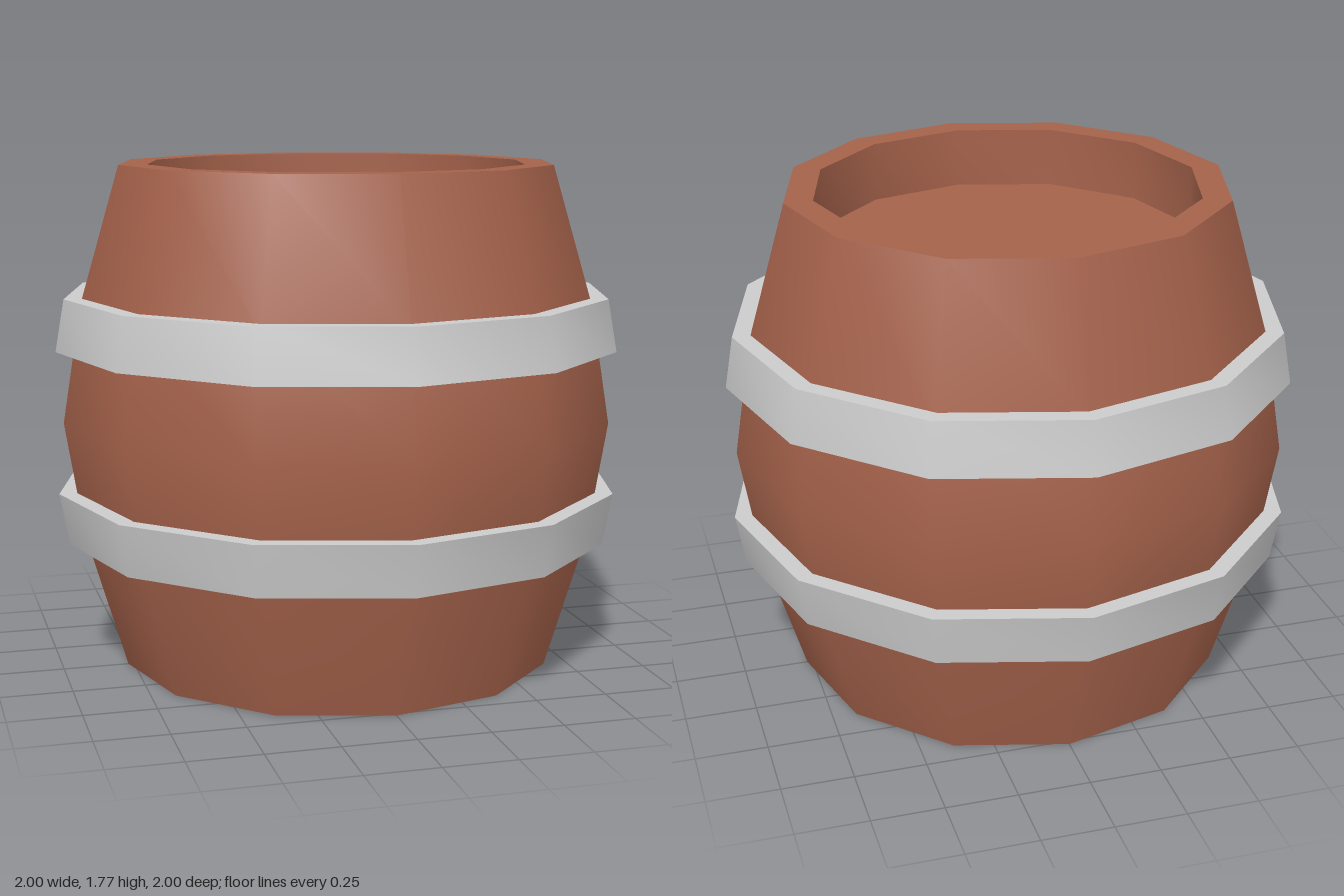
import * as THREE from 'three';
import { toCreasedNormals } from 'three/addons/utils/BufferGeometryUtils.js';

const SIDES = 12;
const HEIGHT = 1.775;
const CREASE = THREE.MathUtils.degToRad(40);

// Turn a [radius, y] profile (outside running upwards) into a twelve-sided mesh
function turned(name, profile, color) {
  const points = profile.map(([r, y]) => new THREE.Vector2(r, y));
  const geometry = toCreasedNormals(new THREE.LatheGeometry(points, SIDES), CREASE);
  const mesh = new THREE.Mesh(geometry, new THREE.MeshStandardMaterial({ color }));
  mesh.name = name;
  return mesh;
}

// Mirror the lower half of a profile about mid-height
const flip = (profile) => profile.map(([r, y]) => [r, HEIGHT - y]).reverse();

export function createModel() {
  const barrel = new THREE.Group();
  barrel.name = 'barrel';

  // Bulging staves with a sunken head at each end
  const recess = 0.21;
  const lower = [[0, recess], [0.67, recess], [0.67, 0], [0.77, 0], [0.912, 0.48]];
  const middle = [0.978, HEIGHT / 2];
  barrel.add(turned('body', [...lower, middle, ...flip(lower)], 0xa5624b));

  // Two sloping metal hoops, wider towards the middle
  const hoop = [[0.88, 0.455], [0.968, 0.455], [1, 0.637], [0.9, 0.637], [0.88, 0.455]];
  barrel.add(turned('lowerHoop', hoop, 0xcccccc));
  barrel.add(turned('upperHoop', flip(hoop), 0xcccccc));

  return barrel;
}
